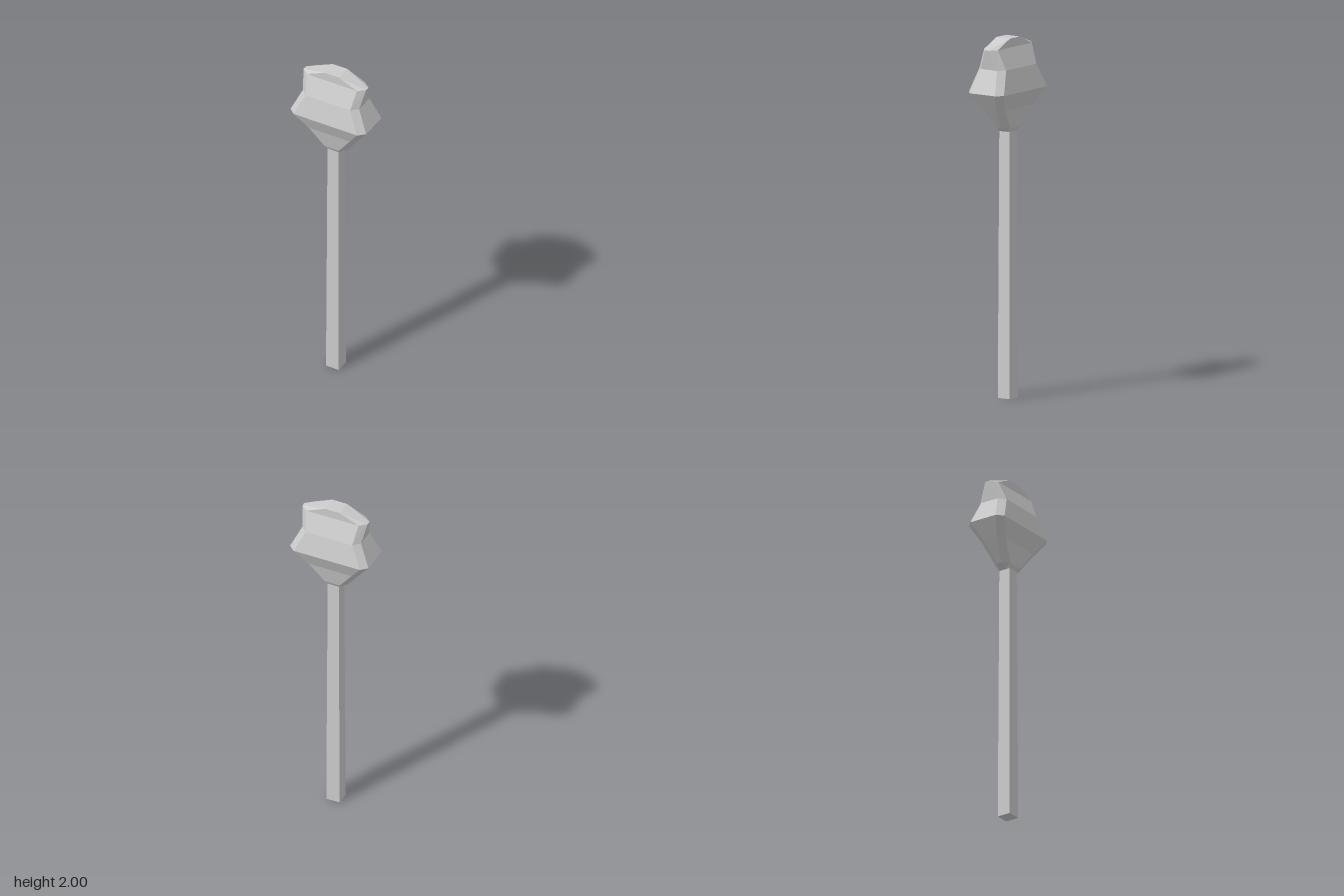
import * as THREE from 'three';

const material = new THREE.MeshStandardMaterial({ color: 0xcccccc, flatShading: true });

// Eight-sided ring: end corners (a, c) and face corners (b, d), with their heights
function ring({ a, c, b, d, y, yFace = y }) {
  return [
    [a, y, c], [b, yFace, d], [-b, yFace, d], [-a, y, c],
    [-a, y, -c], [-b, yFace, -d], [b, yFace, -d], [a, y, -c],
  ].map((p) => new THREE.Vector3(...p));
}

// Joins the rings from bottom to top and closes both ends
function loft(rings) {
  const positions = [];
  const tri = (p, q, r) => {
    if (new THREE.Triangle(p, q, r).getArea() < 1e-7) return;
    for (const v of [p, q, r]) positions.push(v.x, v.y, v.z);
  };
  const quad = (p, q, r, s) => { tri(p, q, r); tri(p, r, s); };

  for (let k = 0; k < rings.length - 1; k++) {
    const low = rings[k], high = rings[k + 1];
    for (let i = 0; i < 8; i++) {
      const j = (i + 1) % 8;
      quad(low[j], low[i], high[i], high[j]);
    }
  }
  const first = rings[0], last = rings[rings.length - 1];
  for (const [i, j, k, l] of [[0, 7, 6, 1], [1, 6, 5, 2], [2, 5, 4, 3]]) {
    quad(last[i], last[j], last[k], last[l]);
    quad(first[l], first[k], first[j], first[i]);
  }
  const geometry = new THREE.BufferGeometry();
  geometry.setAttribute('position', new THREE.Float32BufferAttribute(positions, 3));
  geometry.computeVertexNormals();
  return geometry;
}

export function createModel() {
  const model = new THREE.Group();

  // Square handle, tapering slightly upward
  const handleGeometry = new THREE.BoxGeometry(0.08, 1.49, 0.08).translate(0, 0.745, 0);
  const pos = handleGeometry.attributes.position;
  for (let i = 0; i < pos.count; i++) {
    const s = pos.getY(i) > 0.7 ? 0.85 : 1;
    pos.setX(i, pos.getX(i) * s);
    pos.setZ(i, pos.getZ(i) * s);
  }
  const handle = new THREE.Mesh(handleGeometry, material);
  handle.name = 'handle';
  model.add(handle);

  // Faceted head: collar, swelling, waist, flared rim and low roof
  const head = new THREE.Mesh(loft([
    { y: 1.48, a: 0.04, c: 0.012, b: 0.034, d: 0.034 },
    { y: 1.502, a: 0.083, c: 0.013, b: 0.045, d: 0.047 },
    { y: 1.615, a: 0.167, c: 0.042, b: 0.13, d: 0.076 },
    { y: 1.71, a: 0.237, c: 0.085, b: 0.2, d: 0.119 },
    { y: 1.84, a: 0.177, c: 0.055, b: 0.14, d: 0.09 },
    { y: 1.95, a: 0.197, c: 0.012, b: 0.158, d: 0.046 },
    { y: 1.95, yFace: 2, a: 0.197, c: 0.012, b: 0.045, d: 0.046 },
  ].map(ring)), material);
  head.name = 'head';
  model.add(head);

  return model;
}
